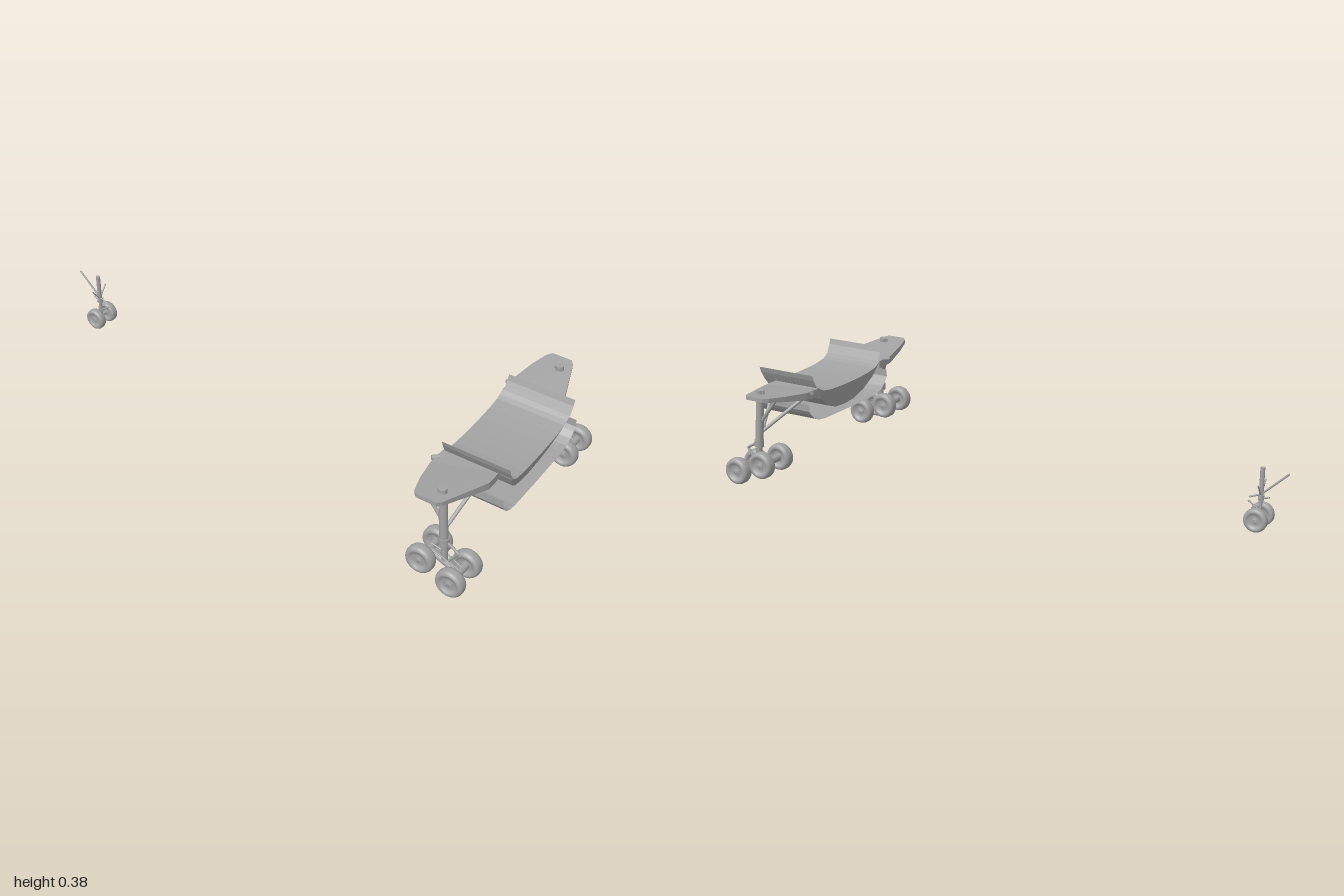
import * as THREE from 'three';

const grey = new THREE.MeshStandardMaterial({ color: 0xa3a3a3 });
grey.name = 'gear grey';
const sheetGrey = grey.clone();
sheetGrey.name = 'sheet grey';
sheetGrey.side = THREE.DoubleSide;

const V = (p) => new THREE.Vector3(...p);

function add(parent, name, geo, mat = grey) {
  const m = new THREE.Mesh(geo, mat);
  m.name = name;
  parent.add(m);
  return m;
}

// round bar between two points
function bar(parent, name, a, b, r, r2 = r, sides = 14) {
  const A = V(a), B = V(b), d = B.clone().sub(A);
  const m = add(parent, name, new THREE.CylinderGeometry(r2, r, d.length(), sides));
  m.position.copy(A).add(B).multiplyScalar(0.5);
  m.quaternion.setFromUnitVectors(new THREE.Vector3(0, 1, 0), d.normalize());
  return m;
}

// tyre with recessed hub, axle along z
function wheel(parent, x, y, z, r, w) {
  const h = w / 2;
  const half = [[0, h * 0.75], [r * 0.2, h * 0.75], [r * 0.25, h * 0.5], [r * 0.55, h * 0.55],
    [r * 0.62, h * 0.95], [r * 0.8, h], [r * 0.94, h * 0.8], [r, h * 0.4]];
  const pts = half.map(([a, b]) => new THREE.Vector2(a, -b))
    .concat(half.slice().reverse().map(([a, b]) => new THREE.Vector2(a, b)));
  const m = add(parent, 'wheel', new THREE.LatheGeometry(pts, 28));
  m.rotation.x = Math.PI / 2;
  m.position.set(x, y, z);
}

// surface through equal-length rows of points, flat shaded
function loft(rows, closed) {
  const n = rows[0].length, idx = [];
  for (let i = 0; i < rows.length - 1; i++) {
    for (let j = 0; j < (closed ? n : n - 1); j++) {
      const k = (j + 1) % n;
      const a = i * n + j, b = i * n + k, c = a + n, d = b + n;
      idx.push(a, c, b, b, c, d);
    }
  }
  let g = new THREE.BufferGeometry();
  g.setAttribute('position', new THREE.Float32BufferAttribute(rows.flat(2), 3));
  g.setIndex(idx);
  g = g.toNonIndexed();
  g.computeVertexNormals();
  return g;
}

// thin sheet: (z, y) profile swept along x
const ribbon = (profile, x0, x1) => loft(profile.map(([z, y]) => [[x0, y, z], [x1, y, z]]), false);

function mirrorProfile(half) {
  return half.concat(half.slice(0, -1).reverse().map(([z, ...r]) => [-z, ...r]));
}

function noseGear() {
  const g = new THREE.Group();
  g.name = 'noseGear';
  const x = -0.908;
  bar(g, 'noseStrut', [x, 0.15, 0], [x, 0.27, 0], 0.008);
  bar(g, 'nosePiston', [x, 0.09, 0], [x, 0.16, 0], 0.0055);
  bar(g, 'noseCollar', [x, 0.155, 0], [x, 0.172, 0], 0.0105);
  bar(g, 'noseAxle', [x + 0.003, 0.093, -0.045], [x + 0.003, 0.093, 0.045], 0.006);
  bar(g, 'noseDragBrace', [x, 0.175, 0], [-0.999, 0.262, 0], 0.0035);
  bar(g, 'noseUpperLink', [x, 0.175, 0], [-0.868, 0.158, 0], 0.003);
  bar(g, 'noseFrontLink', [x, 0.16, 0], [-0.937, 0.168, 0], 0.003);
  bar(g, 'noseLowerLink', [x, 0.115, 0], [-0.864, 0.145, 0], 0.003);
  for (const s of [-1, 1]) {
    bar(g, 'noseSideBrace', [x, 0.168, 0], [x, 0.217, s * 0.037], 0.0025);
    bar(g, 'noseSteeringArm', [x, 0.17, 0], [x, 0.162, s * 0.016], 0.003);
    wheel(g, x + 0.003, 0.093, s * 0.033, 0.041, 0.03);
  }
  return g;
}

// mounting plate, thicker toward the centre and rising outward
function mountPlate(s) {
  const outline = [[0.745, 0.195], [0.745, 0.27], [0.765, 0.37], [0.785, 0.435], [0.8, 0.452],
    [0.872, 0.452], [0.885, 0.435], [0.945, 0.25], [0.945, 0.195]];
  const shape = new THREE.Shape(outline.map(([x, z]) => new THREE.Vector2(x, z * s)));
  const geo = new THREE.ExtrudeGeometry(shape, { depth: 1, bevelEnabled: false });
  const p = geo.attributes.position;
  for (let i = 0; i < p.count; i++) {
    const z = p.getY(i), t = Math.max(0, (Math.abs(z) - 0.25) / 0.202);
    const top = 0.333 + 0.025 * t, thick = 0.028 - 0.014 * t;
    // extrusion depth becomes downward thickness
    p.setXYZ(i, p.getX(i), top - thick * p.getZ(i), z);
  }
  geo.computeVertexNormals();
  return geo;
}

function mainGear(s) {
  const g = new THREE.Group();
  g.name = s > 0 ? 'leftMainGear' : 'rightMainGear';
  const z = 0.39 * s;
  const P = (x, y, zz) => [x, y, zz * s];
  add(g, 'mountPlate', mountPlate(s));

  // shock strut
  bar(g, 'mainStrut', [0.877, 0.16, z], [0.857, 0.366, z], 0.0145);
  bar(g, 'strutCollar', [0.879, 0.145, z], [0.877, 0.172, z], 0.0175);
  bar(g, 'mainPiston', [0.886, 0.078, z], [0.878, 0.155, z], 0.011);
  bar(g, 'strutTopPin', [0.845, 0.352, z], [0.845, 0.364, z], 0.006);

  // braces to the centre section
  bar(g, 'forwardBrace', P(0.745, 0.333, 0.24), P(0.868, 0.203, 0.38), 0.0065);
  bar(g, 'sideBrace', P(0.91, 0.325, 0.25), P(0.872, 0.2, 0.378), 0.0065);
  bar(g, 'bracePin', P(0.735, 0.333, 0.25), P(0.755, 0.333, 0.23), 0.008);
  bar(g, 'retractArm', P(0.79, 0.335, 0.39), P(0.868, 0.235, 0.39), 0.006);

  // torque links
  bar(g, 'upperTorqueLink', [0.879, 0.165, z], [0.932, 0.132, z], 0.005);
  bar(g, 'lowerTorqueLink', [0.932, 0.132, z], [0.9, 0.085, z], 0.005);

  // tilted bogie with two axles
  const axles = [[0.828, 0.098], [0.94, 0.056]];
  bar(g, 'bogieBeam', [...axles[0], z], [...axles[1], z], 0.0125);
  for (const [x, y] of axles) {
    bar(g, 'axle', [x, y, z - 0.065], [x, y, z + 0.065], 0.0135);
    for (const o of [-0.0525, 0.0525]) wheel(g, x, y, z + o, 0.05, 0.041);
    for (const o of [-0.012, 0.012]) {
      bar(g, 'brakeRod', [x, y + 0.014, z + o], [0.884, 0.1, z + o], 0.003);
    }
  }
  return g;
}

function centreSection() {
  const g = new THREE.Group();
  g.name = 'centreSection';
  // belly tray: shallow top, deep rounded underside
  const half = [[0.197, 0.335, 0.333], [0.18, 0.324, 0.305], [0.163, 0.316, 0.28], [0.115, 0.309, 0.24],
    [0.057, 0.306, 0.217], [0, 0.305, 0.212]];
  const rows = mirrorProfile(half).map(([z, t, b]) => {
    const inset = (t - b) * 0.35;
    return [[0.745, t, z], [0.995, t, z], [0.995 - inset, b, z], [0.745 + inset, b, z]];
  });
  add(g, 'bellyTray', loft(rows, true), sheetGrey);

  // curved belly doors
  const doors = mirrorProfile([[0.25, 0.285], [0.25, 0.257], [0.24, 0.242], [0.222, 0.224],
    [0.195, 0.211], [0.16, 0.206], [0, 0.203]]);
  add(g, 'bellyDoors', ribbon(doors, 0.75, 1.0), sheetGrey);

  // upright side doors
  for (const s of [-1, 1]) {
    const fin = [[0.195, 0.333], [0.203, 0.347], [0.213, 0.365], [0.22, 0.386]].map(([z, y]) => [z * s, y]);
    add(g, 'uprightDoor', ribbon(fin, 0.752, 0.997), sheetGrey);
  }
  return g;
}

export function createModel() {
  const model = new THREE.Group();
  model.name = 'landingGear';
  model.add(noseGear(), centreSection(), mainGear(1), mainGear(-1));
  return model;
}
